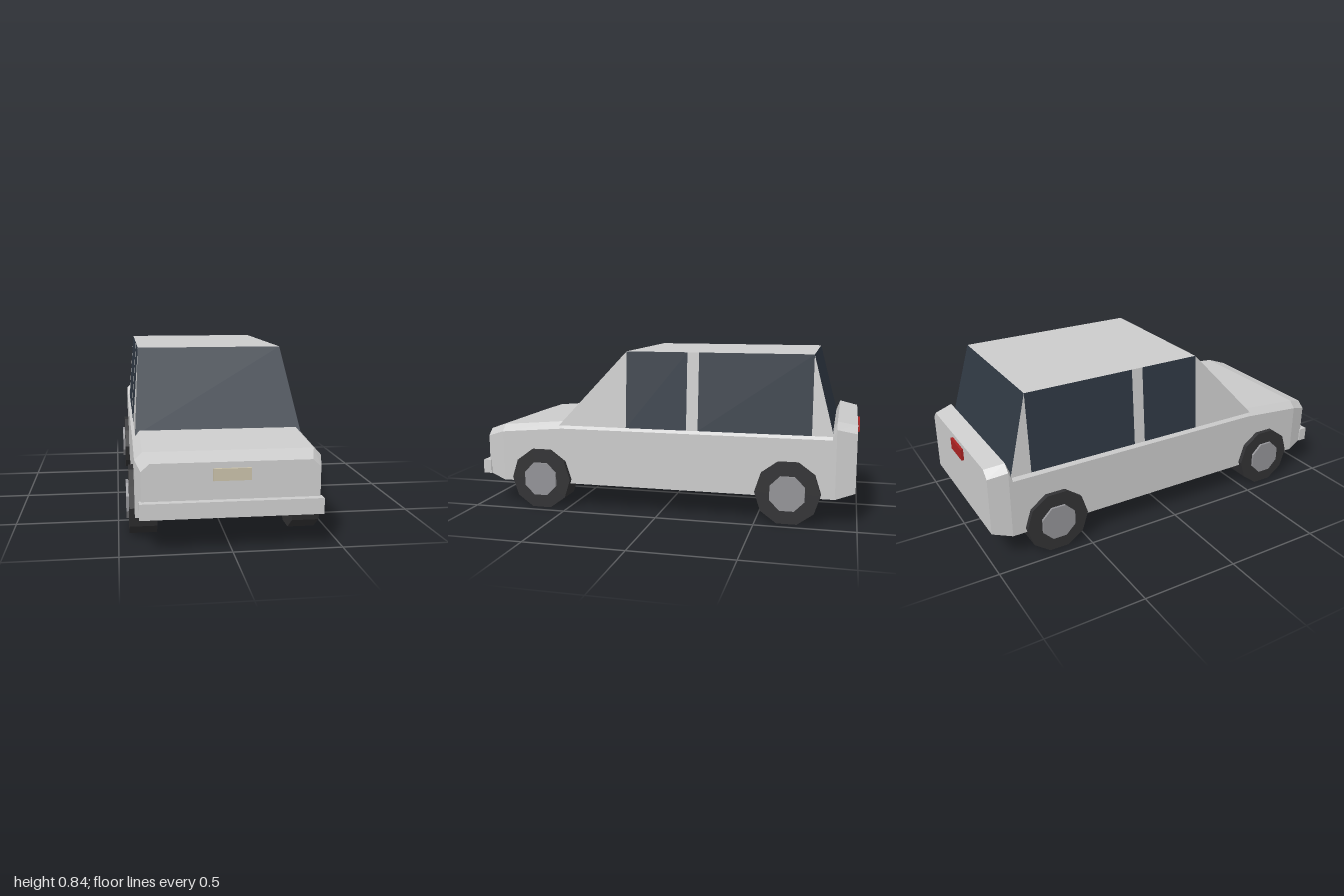
import * as THREE from 'three';

const material = (color) => new THREE.MeshStandardMaterial({ color, flatShading: true });
const paint = material(0xcccccc);
const glass = material(0x2f3843);
glass.side = THREE.DoubleSide;
const panelPaint = material(0xcccccc);
panelPaint.side = THREE.DoubleSide;
const rubber = material(0x323234);
const metal = material(0x939397);

function facetedGeometry(triangles) {
  const geometry = new THREE.BufferGeometry();
  geometry.setAttribute('position', new THREE.Float32BufferAttribute(triangles.flat(2), 3));
  geometry.computeVertexNormals();
  return geometry;
}

// Flat four-cornered panel, corners counter-clockwise from outside
const quad = (a, b, c, d) => [[a, b, c], [a, c, d]];

// Closed skin through six-cornered cross-sections running front to back
function loft(rings) {
  const triangles = [];
  const n = rings[0].length;
  for (let k = 0; k < rings.length - 1; k++) {
    for (let i = 0; i < n; i++) {
      const j = (i + 1) % n;
      triangles.push(...quad(rings[k][i], rings[k + 1][i], rings[k + 1][j], rings[k][j]));
    }
  }
  const first = rings[0], last = rings[rings.length - 1];
  for (let i = 1; i < n - 1; i++) {
    triangles.push([first[0], first[i], first[i + 1]], [last[0], last[i + 1], last[i]]);
  }
  return facetedGeometry(triangles);
}

export function createModel() {
  const model = new THREE.Group();
  model.name = 'car';
  const add = (name, geometry, mat, parent = model) => {
    const mesh = new THREE.Mesh(geometry, mat);
    mesh.name = name;
    parent.add(mesh);
    return mesh;
  };
  const addBox = (name, size, position, mat) =>
    add(name, new THREE.BoxGeometry(...size), mat).position.set(...position);

  // Body: z, half width, bottom, shoulder height, top half width, top height
  const sections = [
    [0.965, 0.4, 0.17, 0.375, 0.362, 0.41],
    [0.87, 0.425, 0.14, 0.406, 0.39, 0.441],
    [0.53, 0.425, 0.14, 0.435, 0.39, 0.47],
    [-0.87, 0.425, 0.14, 0.435, 0.39, 0.47],
    [-0.89, 0.425, 0.14, 0.487, 0.39, 0.523],
    [-0.987, 0.4, 0.17, 0.466, 0.362, 0.503],
  ];
  add('body', loft(sections.map(([z, w, b, s, t, h]) => [
    [-w, b, z], [w, b, z], [w, s, z], [t, h, z], [-t, h, z], [-w, s, z],
  ])), paint);

  // Cabin: sloping side panels between shared pillar lines
  const baseY = 0.45, roofY = 0.845, baseX = 0.411, roofX = 0.38;
  const low = (side, z) => [side * baseX, baseY, z];
  const high = (side, z) => [side * roofX, roofY, z];
  const front = [0.55, 0.18], rear = [-0.875, -0.77];
  const sidePanels = [
    ['frontPillar', front, [0.18, 0.18], panelPaint],
    ['frontSideWindow', [0.18, 0.18], [-0.14, -0.14], glass],
    ['middlePillar', [-0.14, -0.14], [-0.2, -0.2], panelPaint],
    ['rearSideWindow', [-0.2, -0.2], [-0.77, -0.77], glass],
    ['rearPillar', [-0.77, -0.77], rear, panelPaint],
  ];
  for (const side of [1, -1]) {
    for (const [name, f, r, mat] of sidePanels) {
      const corners = [low(side, f[0]), low(side, r[0]), high(side, r[1]), high(side, f[1])];
      if (side < 0) corners.reverse();
      add((side > 0 ? 'left ' : 'right ') + name, facetedGeometry(quad(...corners)), mat);
    }
  }
  add('windscreen', facetedGeometry(quad(
    low(-1, front[0]), low(1, front[0]), high(1, front[1]), high(-1, front[1]))), glass);
  add('rearWindow', facetedGeometry(quad(
    low(1, rear[0]), low(-1, rear[0]), high(-1, rear[1]), high(1, rear[1]))), glass);
  add('roof', facetedGeometry(quad(
    high(-1, front[1]), high(1, front[1]), high(1, rear[1]), high(-1, rear[1]))), panelPaint);

  // Bumper and plates
  addBox('frontBumper', [0.82, 0.073, 0.045], [0, 0.204, 0.9775], paint);
  addBox('frontPlate', [0.17, 0.055, 0.02], [0, 0.355, 0.967], material(0xc8c0a8));
  addBox('rearPlate', [0.155, 0.06, 0.02], [0, 0.45, -0.99], material(0xaa2222));

  // Wheels: ten-sided tyres with eight-sided hubs
  const radius = 0.1635;
  const tyre = new THREE.CylinderGeometry(radius, radius, 0.13, 10).rotateZ(-Math.PI / 2);
  const hub = new THREE.CylinderGeometry(0.0935, 0.0935, 0.03, 8)
    .rotateY(Math.PI / 8).rotateZ(-Math.PI / 2);
  for (const [place, z] of [['front', 0.645], ['rear', -0.66]]) {
    for (const side of [1, -1]) {
      const wheel = new THREE.Group();
      wheel.name = place + (side > 0 ? 'LeftWheel' : 'RightWheel');
      wheel.position.set(side * 0.384, radius, z);
      add('tyre', tyre, rubber, wheel);
      add('hub', hub, metal, wheel).position.x = side * 0.062;
      model.add(wheel);
    }
  }
  return model;
}
